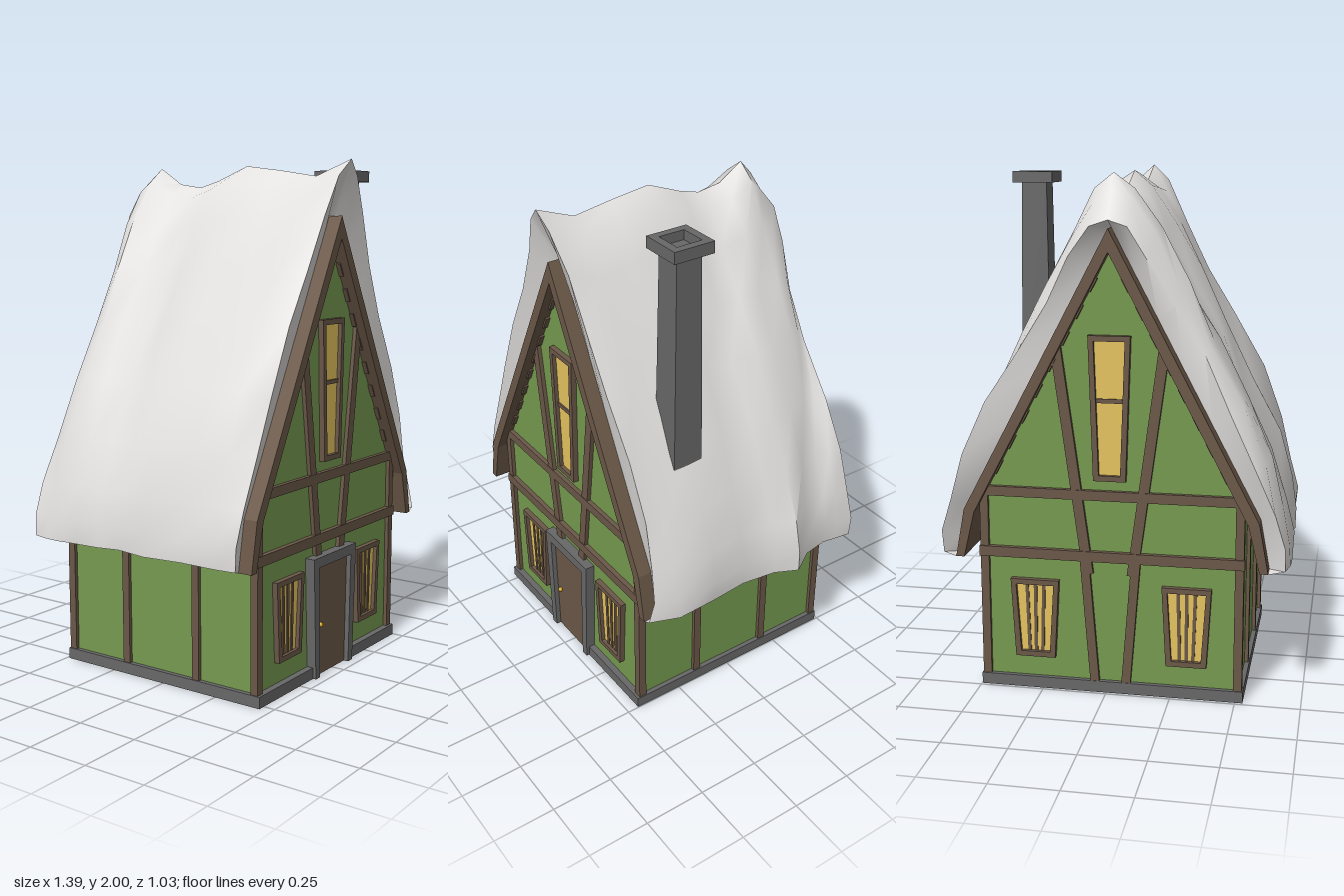
import * as THREE from 'three';
import { toCreasedNormals } from 'three/addons/utils/BufferGeometryUtils.js';

const paint = (name, color, side = THREE.FrontSide) => {
  const m = new THREE.MeshStandardMaterial({ color, side });
  m.name = name;
  return m;
};
const green = paint('green plaster', 0x759a4f, THREE.DoubleSide);
const wood = paint('brown timber', 0x6b5848);
const stone = paint('grey stone', 0x686868);
const snowWhite = paint('snow', 0xe3e1df, THREE.DoubleSide);
const glow = paint('lit glass', 0xe6c45f);
const brass = paint('brass', 0xd8a820);

const CX = -0.016, FRONT = 0.425, BACK = -0.47;

function add(parent, name, geo, mat, x = 0, y = 0, z = 0) {
  const mesh = new THREE.Mesh(geo, mat);
  mesh.name = name;
  mesh.position.set(x, y, z);
  parent.add(mesh);
  return mesh;
}
function box(parent, name, mat, x0, x1, y0, y1, z0, z1) {
  return add(parent, name, new THREE.BoxGeometry(x1 - x0, y1 - y0, z1 - z0), mat,
    (x0 + x1) / 2, (y0 + y1) / 2, (z0 + z1) / 2);
}
// Flat outline given as [x, y] corners, with an optional hole
function outline(points, hole) {
  const v = (list) => list.map(([x, y]) => new THREE.Vector2(x, y));
  const s = new THREE.Shape(v(points));
  if (hole) s.holes.push(new THREE.Path(v(hole)));
  return s;
}
const slab = (points, depth, hole) =>
  new THREE.ExtrudeGeometry(outline(points, hole), { depth, bevelEnabled: false });
const taper = (bottom, top, y0, y1) => [[-bottom, y0], [bottom, y0], [top, y1], [-top, y1]];

// Straight timber between two points on a facade
function beam(parent, name, x0, y0, x1, y1, w, z = 0.007, depth = 0.018) {
  const m = add(parent, name, new THREE.BoxGeometry(w, Math.hypot(x1 - x0, y1 - y0), depth), wood,
    (x0 + x1) / 2, (y0 + y1) / 2, z);
  m.rotation.z = -Math.atan2(x1 - x0, y1 - y0);
}

// Tapered window: frame, glass and glazing bars
function makeWindow(name, bottom, top, y0, y1, uprights, crossY) {
  const g = new THREE.Group();
  g.name = name;
  const f = 0.021, hole = taper(bottom - f, top - f, y0 + f, y1 - f);
  add(g, 'windowFrame', slab(taper(bottom, top, y0, y1), 0.036, hole), wood, 0, 0, -0.014);
  add(g, 'windowGlass', slab(hole, 0.012), glow, 0, 0, -0.006);
  for (const u of uprights)
    beam(g, 'windowBar', u * (bottom - f), y0 + f, u * (top - f), y1 - f, 0.013, 0.006, 0.008);
  if (crossY) box(g, 'windowCrossbar', wood, f - top, top - f, crossY - 0.008, crossY + 0.008, 0, 0.012);
  return g;
}

// Half-timbered gable end with wall at local z = 0
function makeFacade(name, hasDoor) {
  const g = new THREE.Group();
  g.name = name;
  add(g, 'gableWall', new THREE.ShapeGeometry(outline(
    [[-0.495, 0], [0.495, 0], [0.495, 0.79], [0, 1.73], [-0.495, 0.79]])), green);
  box(g, 'lowerRail', wood, -0.513, 0.513, 0.53, 0.57, -0.002, 0.02);
  box(g, 'upperRail', wood, -0.49, 0.49, 0.772, 0.81, -0.002, 0.018);
  for (const s of [-1, 1]) {
    beam(g, 'slantedTimber', s * 0.205, 1.36, s * 0.085, 0.48, 0.04);
    if (!hasDoor) beam(g, 'lowerTimber', s * 0.1, 0.54, s * 0.06, 0.03, 0.035);
    const w = makeWindow('lowerWindow', 0.078, 0.095, 0.13, 0.445, [-0.45, 0, 0.45]);
    w.position.x = s * 0.295;
    g.add(w);
    // Rafter lumps just peeping out under the roof edge
    for (let i = 0; i < 8; i++) {
      const y = 0.89 + i * 0.1, x = s * (1.722 - y) * 0.529;
      beam(g, 'rafterLump', x + s * 0.013, y - 0.025, x - s * 0.013, y + 0.025, 0.03, 0.006, 0.024);
    }
  }
  g.add(makeWindow('upperWindow', 0.062, 0.08, 0.85, 1.4, [], 1.155));
  if (hasDoor) {
    const frame = [[-0.14, 0], [-0.108, 0], [-0.12, 0.445], [0.12, 0.445], [0.108, 0],
      [0.14, 0], [0.16, 0.485], [-0.16, 0.485]];
    add(g, 'doorFrame', slab(frame, 0.12), stone, 0, 0, -0.08);
    add(g, 'door', slab(taper(0.108, 0.12, 0, 0.445), 0.03), wood, 0, 0, -0.01);
    add(g, 'doorKnob', new THREE.SphereGeometry(0.01, 10, 8), brass, -0.085, 0.205, 0.026);
  }
  return g;
}

// Lumpy snow blanket: sections along z, wrapped down onto the wooden roof at every edge
function makeSnow() {
  const half = [[0, 1.95], [0.075, 1.9], [0.16, 1.765], [0.26, 1.575], [0.365, 1.375], [0.478, 1.15],
    [0.572, 0.94], [0.625, 0.76], [0.655, 0.63], [0.65, 0.545]];
  // Each section: z, ridge height, eave half-width on the right side of the plan and on the left
  const sections = [[0.515, 2.0, 0.637, 0.655], [0.36, 1.94, 0.68, 0.663], [0.2, 1.965, 0.672, 0.66],
    [0.04, 1.985, 0.657, 0.678], [-0.1, 1.93, 0.675, 0.655], [-0.19, 1.905, 0.718, 0.675],
    [-0.29, 1.92, 0.655, 0.68], [-0.39, 1.985, 0.637, 0.688], [-0.44, 1.93, 0.645, 0.685],
    [-0.513, 1.82, 0.655, 0.67]];
  const n = half.length - 1, last = sections.length - 1, cols = 2 * n + 3;
  const woodX = (y) => (y > 0.72 ? (1.79 - y) * 0.528 : 0.565 + (0.72 - y) * 0.18);
  const pos = [], index = [];
  for (let i = -1; i <= last + 1; i++) {
    const r = Math.min(Math.max(i, 0), last);
    const [zs, top, wideRight, wideLeft] = sections[r];
    for (let j = -n - 1; j <= n + 1; j++) {
      const k = Math.min(Math.abs(j), n), s = Math.sign(j), t = k / n;
      let [x, y] = half[k], z = zs;
      if (i !== r || Math.abs(j) > n) {
        y = 0.53 + (y - 0.545) * 0.897;
        x = woodX(y);
      } else {
        const swell = Math.sin(Math.PI * t);
        const bump = swell * (0.016 * Math.sin(1.2 - zs * 18 + t * 3 + s) + 0.012 * Math.sin(k * 1.7 - zs * 31 + s * 2));
        x += bump + ((s > 0 ? wideRight : wideLeft) - 0.657) * t * t;
        x -= swell * (r === 0 ? 0.022 : r === last ? 0.012 : 0);
        y += (top - 1.95) * (1 - t) ** 2 + bump * 0.4;
      }
      // Front rim furthest out at the ridge; both rims dented partway down
      if (r === 0)
        z = i < 0 ? 0.42 : 0.475 + 0.04 * Math.exp(-((t * 5) ** 2)) - 0.035 * (s > 0 ? Math.sin(Math.PI * t * t) : t);
      if (r === last) z = i > last ? -0.445 : -0.513 + 0.05 * Math.sin(Math.PI * t ** 0.8) ** 4;
      pos.push(s * x, y, z);
    }
  }
  for (let i = 0; i < last + 2; i++)
    for (let j = 0; j < cols - 1; j++) {
      const a = i * cols + j, b = a + 1, c = a + cols, d = c + 1;
      index.push(a, b, c, b, d, c);
    }
  const geo = new THREE.BufferGeometry();
  geo.setAttribute('position', new THREE.Float32BufferAttribute(pos, 3));
  geo.setIndex(index);
  return toCreasedNormals(geo, 0.95);
}

export function createModel() {
  const house = new THREE.Group();
  house.name = 'snowyCottage';

  const front = makeFacade('frontFacade', true);
  front.position.set(CX, 0, FRONT);
  const back = makeFacade('backFacade', false);
  back.position.set(CX, 0, BACK);
  back.rotation.y = Math.PI;
  house.add(front, back);

  // Side walls, posts and stone footing
  for (const s of [-1, 1]) {
    const wall = add(house, 'sideWall', new THREE.PlaneGeometry(FRONT - BACK, 0.78), green,
      CX + s * 0.495, 0.39, (FRONT + BACK) / 2);
    wall.rotation.y = s * Math.PI / 2;
    for (const z of [0.425, 0.155, -0.185, -0.468])
      add(house, 'sidePost', new THREE.BoxGeometry(0.033, 0.77, 0.032), wood, CX + s * 0.493, 0.415, z);
    box(house, 'sideFooting', stone, CX + s * 0.504 - 0.01, CX + s * 0.504 + 0.01, 0, 0.045, -0.487, 0.452);
  }
  box(house, 'backFooting', stone, CX - 0.514, CX + 0.514, 0, 0.045, -0.488, -0.47);
  for (const [a, b] of [[-0.514, -0.13], [0.13, 0.514]])
    box(house, 'frontFooting', stone, CX + a, CX + b, 0, 0.045, 0.425, 0.452);

  // Wooden roof with kicked-out eaves
  add(house, 'woodenRoof', slab([[-0.6, 0.53], [-0.565, 0.72], [0, 1.79], [0.565, 0.72], [0.6, 0.53],
    [0.568, 0.53], [0.525, 0.71], [0, 1.705], [-0.525, 0.71], [-0.568, 0.53]], 0.99),
  wood, -0.017, 0, -0.513);
  add(house, 'roofSnow', makeSnow(), snowWhite, -0.017);

  // Chimney: tapered shaft with a hollow cap
  const chimney = new THREE.Group();
  chimney.name = 'chimney';
  chimney.position.set(0.427, 0, 0.212);
  const shaft = new THREE.CylinderGeometry(0.074, 0.088, 0.85, 4).rotateY(Math.PI / 4).toNonIndexed();
  shaft.computeVertexNormals();
  add(chimney, 'chimneyShaft', shaft, stone, 0, 1.515);
  const square = (h) => taper(h, h, -h, h);
  add(chimney, 'chimneyCap', slab(square(0.083), 0.045, square(0.052)).rotateX(-Math.PI / 2), stone, 0, 1.932);
  house.add(chimney);
  return house;
}
